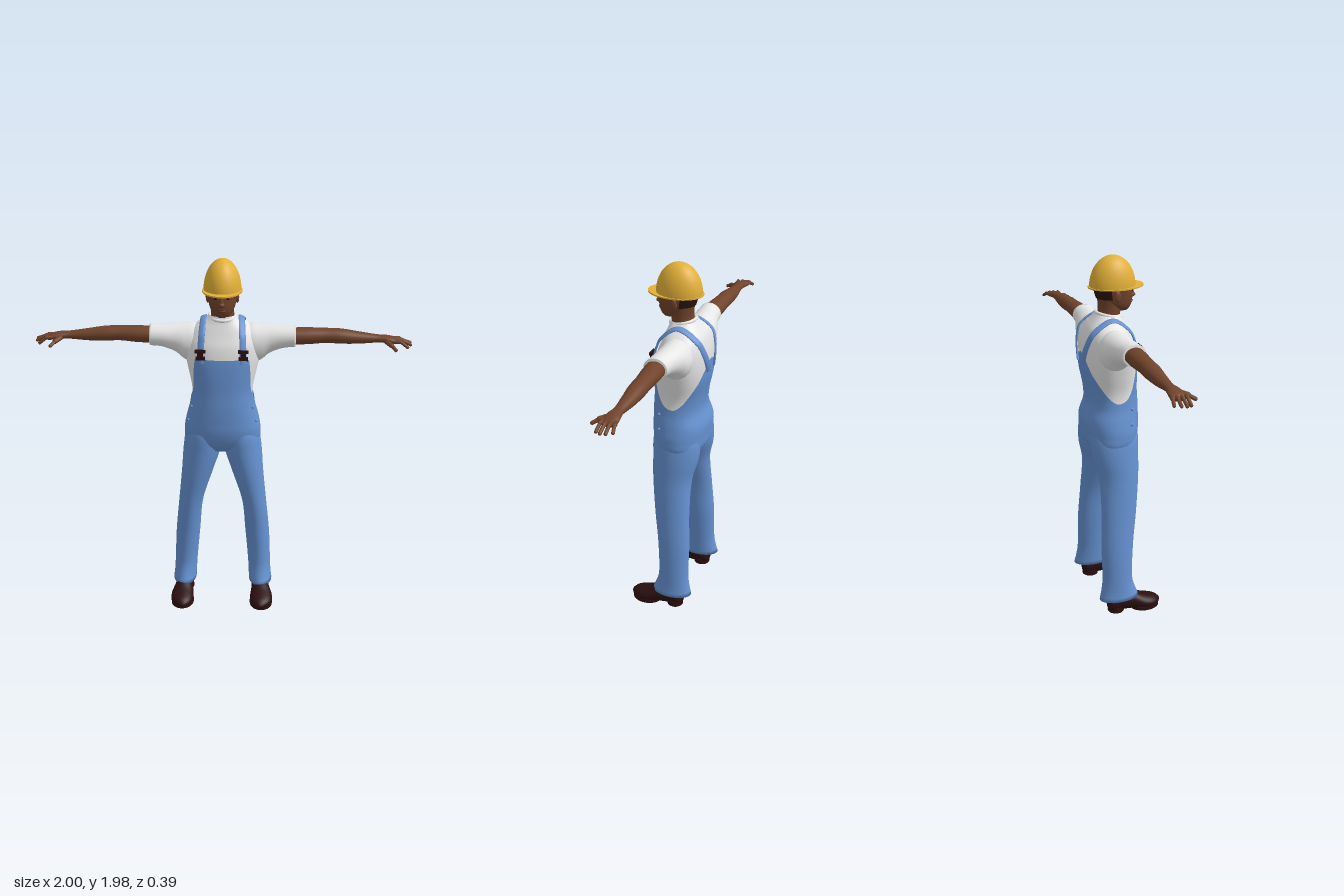
import * as THREE from 'three';

const mat = (name, color, side = THREE.FrontSide) => {
  const m = new THREE.MeshStandardMaterial({ color, side });
  m.name = name;
  return m;
};

// Smooth interpolation of rows [key, ...values] at key k
function at(rows, k) {
  let i = 0;
  while (i < rows.length - 2 && k > rows[i + 1][0]) i++;
  const a = rows[i], b = rows[i + 1], p = rows[i - 1] || a, n = rows[i + 2] || b;
  const h = b[0] - a[0], t = Math.min(1, Math.max(0, (k - a[0]) / h));
  return a.slice(1).map((_, j) => {
    const c = j + 1;
    const ma = (b[c] - p[c]) / (b[0] - p[0]) * h, mb = (n[c] - a[c]) / (n[0] - a[0]) * h;
    const t2 = t * t, t3 = t2 * t;
    return (2 * t3 - 3 * t2 + 1) * a[c] + (t3 - 2 * t2 + t) * ma + (3 * t2 - 2 * t3) * b[c] + (t3 - t2) * mb;
  });
}

// Surface from fn(u, v) -> [x, y, z]; wrap closes it in u
function grid(nu, nv, fn, wrap = true) {
  const pos = [], idx = [], cols = wrap ? nu : nu + 1;
  for (let j = 0; j <= nv; j++) for (let i = 0; i < cols; i++) pos.push(...fn(i / nu, j / nv));
  for (let j = 0; j < nv; j++) for (let i = 0; i < nu; i++) {
    const a = j * cols + i, b = j * cols + (i + 1) % cols, c = a + cols, d = b + cols;
    idx.push(a, b, d, a, d, c);
  }
  const g = new THREE.BufferGeometry();
  g.setAttribute('position', new THREE.Float32BufferAttribute(pos, 3));
  g.setIndex(idx);
  g.computeVertexNormals();
  return g;
}

// Capped loft of ellipses along an axis; rows are [key, centre1, centre2, radius1, radius2]
function loft(axis, rows, nu = 32, nv = 32) {
  const k0 = rows[0][0], k1 = rows[rows.length - 1][0];
  return grid(nu, nv + 2, (u, v) => {
    const j = Math.round(v * (nv + 2)), r = j === 0 || j === nv + 2 ? 0 : 1;
    const k = k0 + (k1 - k0) * Math.min(1, Math.max(0, (j - 1) / nv));
    const [c1, c2, r1, r2] = at(rows, k), t = u * Math.PI * 2;
    const s = Math.sin(t) * r, c = Math.cos(t) * r;
    if (axis === 'y') return [c1 + r1 * s, k, c2 + r2 * c];
    if (axis === 'x') return [k, c1 + r1 * c, c2 + r2 * s];
    return [c1 + r1 * c, Math.max(0.012, c2 + r2 * s), k];
  });
}

function mirrored(g) {
  const m = g.index ? g.clone() : g.toNonIndexed();
  m.scale(-1, 1, 1);
  const a = m.index.array;
  for (let i = 0; i < a.length; i += 3) [a[i], a[i + 1]] = [a[i + 1], a[i]];
  return m;
}

function capsule(a, b, r) {
  const A = new THREE.Vector3(...a), d = new THREE.Vector3(...b).sub(A);
  const g = new THREE.CapsuleGeometry(r, d.length(), 5, 10);
  g.applyQuaternion(new THREE.Quaternion().setFromUnitVectors(new THREE.Vector3(0, 1, 0), d.clone().normalize()));
  return g.translate(...A.addScaledVector(d, 0.5).toArray());
}

const ball = (x, y, z, sx, sy, sz) => new THREE.SphereGeometry(1, 20, 14).scale(sx, sy, sz).translate(x, y, z);

// Torso sections: height, centre z, half width, half depth
const TORSO = [
  [0.93, -0.04, 0.12, 0.08], [0.98, -0.045, 0.192, 0.125], [1.05, -0.04, 0.2, 0.14], [1.12, -0.038, 0.188, 0.142],
  [1.2, -0.026, 0.168, 0.13], [1.28, -0.03, 0.163, 0.13], [1.38, -0.04, 0.182, 0.138], [1.46, -0.045, 0.198, 0.138],
  [1.53, -0.05, 0.2, 0.13], [1.58, -0.055, 0.185, 0.115], [1.62, -0.055, 0.152, 0.1], [1.655, -0.048, 0.1, 0.08], [1.685, -0.04, 0.07, 0.066]];
const soft = v => Math.sign(v) * Math.abs(v) ** 0.88;
function torsoPoint(t, y, off) {
  const [cz, rx, rz] = at(TORSO, y);
  return [(rx + off) * soft(Math.sin(t)), y, cz + (rz + off) * soft(Math.cos(t))];
}
function torsoZ(x, y, side, off) {
  const [cz, rx, rz] = at(TORSO, y), s = Math.min(1, Math.abs(x) / (rx + off)) ** (1 / 0.88);
  return cz + side * (rz + off) * soft(Math.sqrt(1 - s * s));
}

// Upper edge of the overalls by angle from the front
const EDGE = [[0, 1.47], [0.66, 1.47], [0.72, 1.465], [0.82, 1.41], [1.1, 1.29], [1.6, 1.23], [2, 1.265], [2.5, 1.37], [2.9, 1.46], [3.15, 1.49]];

export function createModel() {
  const root = new THREE.Group();
  root.name = 'worker';
  const skin = mat('brown skin', 0x70432b), lip = mat('lips', 0x5e3226), hairM = mat('dark hair', 0x2a1510, THREE.DoubleSide);
  const white = mat('white cotton', 0xe6e6e6), denim = mat('blue denim', 0x6692d2, THREE.DoubleSide);
  const dark = mat('dark leather', 0x2c0f10), yellow = mat('yellow plastic', 0xe3b038, THREE.DoubleSide);
  const add = (name, g, m) => {
    const mesh = new THREE.Mesh(g, m);
    mesh.name = name;
    root.add(mesh);
  };
  const pair = (name, g, m) => {
    add(name + 'Left', g, m);
    add(name + 'Right', mirrored(g), m);
  };

  // Shirt
  add('shirtBody', grid(64, 36, (u, v) => torsoPoint(u * Math.PI * 2, 1.15 + 0.535 * v, 0)), white);
  add('collar', new THREE.TorusGeometry(0.068, 0.009, 10, 40).rotateX(Math.PI / 2 + 0.2).translate(0, 1.678, -0.036), white);
  pair('sleeve', loft('x', [
    [0.09, 1.53, -0.055, 0.085, 0.075], [0.15, 1.525, -0.058, 0.106, 0.09], [0.2, 1.53, -0.058, 0.1, 0.088],
    [0.25, 1.55, -0.055, 0.078, 0.077], [0.32, 1.563, -0.045, 0.061, 0.066], [0.385, 1.567, -0.04, 0.057, 0.062]]), white);

  // Overalls
  add('overallsBody', grid(96, 40, (u, v) => {
    const t = u * Math.PI * 2, [top] = at(EDGE, Math.min(t, Math.PI * 2 - t));
    return torsoPoint(t, 0.93 + (top - 0.93) * v, 0.007);
  }), denim);
  pair('trouserLeg', loft('y', [
    [0.085, 0.22, -0.056, 0.066, 0.115], [0.13, 0.216, -0.06, 0.064, 0.1], [0.2, 0.212, -0.064, 0.064, 0.086],
    [0.4, 0.198, -0.06, 0.068, 0.09], [0.6, 0.178, -0.043, 0.068, 0.098], [0.8, 0.138, -0.03, 0.088, 0.11],
    [0.93, 0.112, -0.04, 0.104, 0.128], [1.03, 0.1, -0.04, 0.1, 0.13], [1.1, 0.09, -0.04, 0.08, 0.11]], 36, 44), denim);

  // Straps lie over the shoulders and meet near the middle of the back
  const front = [[0.112, 1.45], [0.111, 1.5], [0.109, 1.55], [0.106, 1.6]];
  const back = [[0.104, 1.61], [0.088, 1.56], [0.068, 1.51], [0.046, 1.46], [0.034, 1.43]];
  const path = new THREE.CatmullRomCurve3([
    ...front.map(([x, y]) => new THREE.Vector3(x, y, torsoZ(x, y, 1, 0.012))),
    new THREE.Vector3(0.1, 1.667, -0.045),
    ...back.map(([x, y]) => new THREE.Vector3(x, y, torsoZ(x, y, -1, 0.012)))]);
  pair('strap', grid(8, 48, (u, v) => {
    const p = path.getPoint(v), a = u * Math.PI * 2 + Math.PI / 8, tan = path.getTangent(v);
    const n = new THREE.Vector3(0.35, 0, 0).add(new THREE.Vector3(0, p.y - 1.5, p.z + 0.05).normalize());
    const side = new THREE.Vector3().crossVectors(tan, n).normalize();
    n.crossVectors(side, tan).normalize();
    return p.addScaledVector(side, 0.019 * Math.cos(a)).addScaledVector(n, 0.006 * Math.sin(a)).toArray();
  }), denim);

  // Buckles and side buttons
  const bz = torsoZ(0.112, 1.5, 1, 0.022);
  for (const [y, w, h] of [[1.518, 0.056, 0.016], [1.498, 0.03, 0.034], [1.48, 0.05, 0.018]])
    pair('buckle', new THREE.BoxGeometry(w, h, 0.014).translate(0.112, y, bz), dark);
  for (const y of [1.11, 1.19]) {
    const p = torsoPoint(1.15, y, 0.008);
    pair('sideButton', ball(...p, 0.008, 0.009, 0.009), denim);
  }

  // Shoes
  pair('shoe', loft('z', [
    [-0.122, 0.216, 0.045, 0.022, 0.026], [-0.11, 0.216, 0.05, 0.04, 0.045], [-0.04, 0.217, 0.06, 0.047, 0.062],
    [0.02, 0.222, 0.052, 0.052, 0.058], [0.08, 0.227, 0.038, 0.063, 0.044], [0.13, 0.227, 0.032, 0.059, 0.034],
    [0.165, 0.224, 0.028, 0.04, 0.024], [0.184, 0.222, 0.024, 0.014, 0.01]], 28, 28), dark);
  pair('heel', new THREE.CylinderGeometry(0.045, 0.046, 0.03, 24).translate(0.216, 0.015, -0.075), dark);
  pair('sole', new THREE.CylinderGeometry(1, 1, 0.018, 32).scale(0.064, 1, 0.083).translate(0.226, 0.009, 0.095), dark);

  // Arms and hands
  pair('arm', loft('x', [
    [0.35, 1.567, -0.04, 0.044, 0.053], [0.45, 1.568, -0.045, 0.044, 0.052], [0.55, 1.57, -0.05, 0.039, 0.046],
    [0.62, 1.567, -0.05, 0.04, 0.046], [0.72, 1.56, -0.05, 0.032, 0.037], [0.82, 1.557, -0.048, 0.021, 0.027],
    [0.86, 1.556, -0.046, 0.02, 0.035], [0.9, 1.55, -0.046, 0.018, 0.041], [0.93, 1.543, -0.046, 0.012, 0.035]], 28, 36), skin);
  for (const [z0, x, y, z] of [[-0.075, 0.968, 1.53, -0.09], [-0.056, 0.99, 1.532, -0.064], [-0.036, 0.99, 1.528, -0.036], [-0.016, 0.972, 1.522, -0.008]]) {
    const knuckle = [(0.9 + x) / 2, 1.549, (z0 + z) / 2];
    pair('fingerBase', capsule([0.9, 1.55, z0], knuckle, 0.0105), skin);
    pair('fingerTip', capsule(knuckle, [x, y, z], 0.0088), skin);
  }
  pair('thumbBase', capsule([0.855, 1.55, -0.03], [0.885, 1.538, 0.015], 0.0135), skin);
  pair('thumbTip', capsule([0.885, 1.538, 0.015], [0.905, 1.522, 0.043], 0.01), skin);

  // Head
  const HEAD = [[1.692, 0, 0.04, 0.022, 0.03], [1.71, 0, 0.022, 0.05, 0.06], [1.74, 0, 0.006, 0.066, 0.086],
    [1.78, 0, -0.002, 0.075, 0.098], [1.83, 0, -0.008, 0.08, 0.1], [1.9, 0, -0.01, 0.07, 0.085]];
  add('neck', loft('y', [[1.6, 0, -0.045, 0.066, 0.062], [1.67, 0, -0.036, 0.062, 0.06], [1.71, 0, -0.03, 0.06, 0.06], [1.77, 0, -0.03, 0.062, 0.065]]), skin);
  add('head', loft('y', HEAD), skin);
  add('nose', ball(0, 1.768, 0.095, 0.015, 0.013, 0.02), skin);
  add('noseBridge', capsule([0, 1.772, 0.1], [0, 1.81, 0.09], 0.009), skin);
  add('upperLip', ball(0, 1.741, 0.089, 0.024, 0.005, 0.009), lip);
  add('lowerLip', ball(0, 1.732, 0.085, 0.021, 0.006, 0.009), lip);
  pair('eye', ball(0.03, 1.798, 0.086, 0.012, 0.005, 0.005), hairM);
  pair('ear', ball(0.077, 1.782, -0.012, 0.01, 0.03, 0.018), skin);
  add('hair', grid(28, 8, (u, v) => {
    const t = Math.PI * (0.62 + 0.76 * u), y = 1.765 + 0.09 * v, [, cz, rx, rz] = at(HEAD, y);
    return [(rx + 0.006) * Math.sin(t), y, cz + (rz + 0.006) * Math.cos(t)];
  }, false), hairM);

  // Hard hat
  add('helmetDome', new THREE.SphereGeometry(1, 48, 24, 0, Math.PI * 2, 0, Math.PI / 2).scale(0.098, 0.161, 0.123).translate(0, 1.823, -0.013), yellow);
  add('helmetBrim', new THREE.CylinderGeometry(1, 1, 0.007, 56).scale(0.104, 1, 0.149).translate(0, 1.823, 0.006), yellow);

  return root;
}
